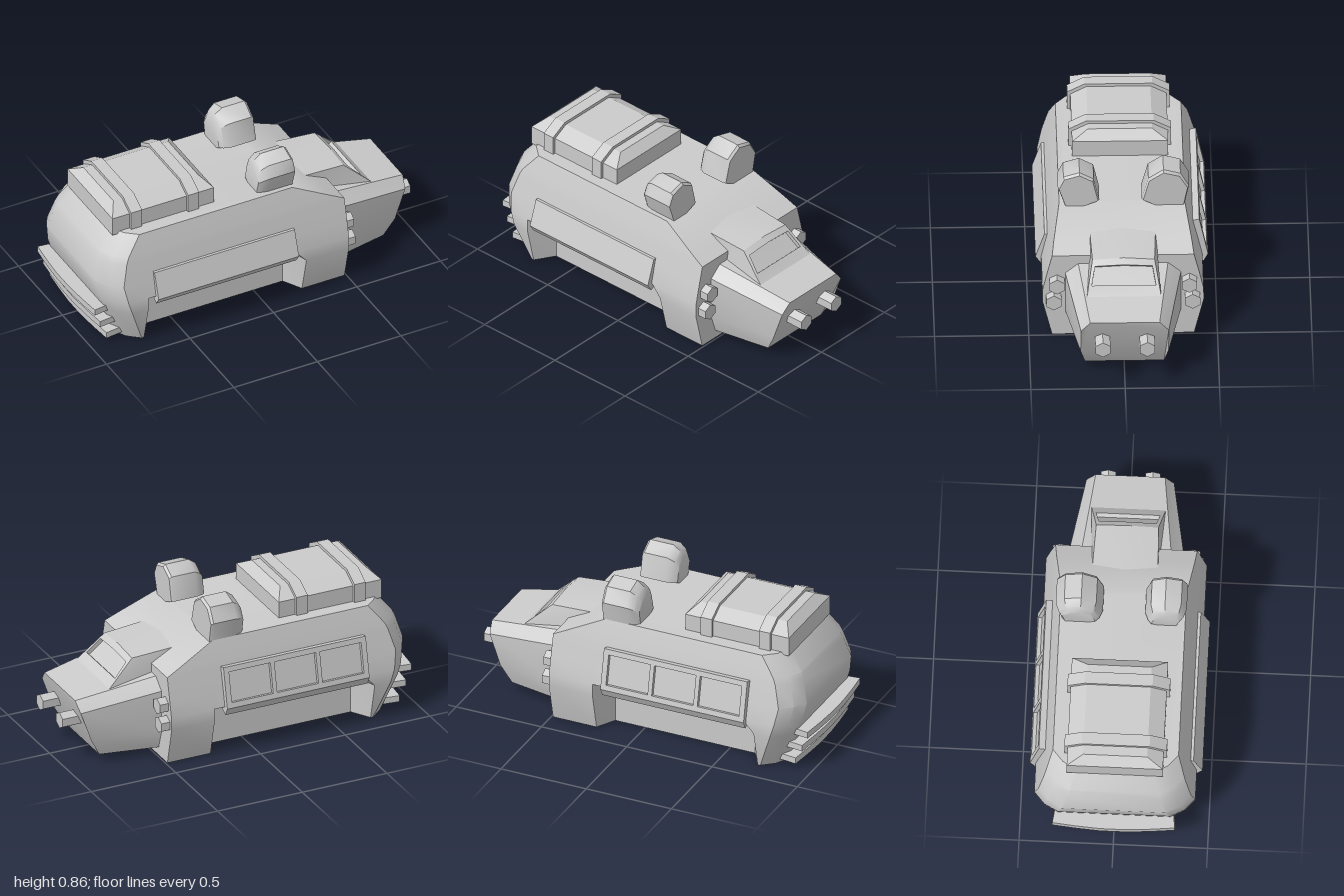
import * as THREE from 'three';
import { toCreasedNormals } from 'three/addons/utils/BufferGeometryUtils.js';

const material = new THREE.MeshStandardMaterial({ color: 0xcccccc });

function addMesh(parent, name, geometry) {
  const mesh = new THREE.Mesh(geometry, material);
  mesh.name = name;
  parent.add(mesh);
  return mesh;
}

// Closed skin through rings of equal point count, with both ends capped
function loft(rings, crease = 0.5) {
  const tris = [];
  const count = rings[0].length;
  for (let k = 0; k < rings.length - 1; k++) {
    const a = rings[k], b = rings[k + 1];
    for (let i = 0; i < count; i++) {
      const j = (i + 1) % count;
      tris.push([a[i], a[j], b[j]], [a[i], b[j], b[i]]);
    }
  }
  const cap = (ring, reverse) => {
    const n = new THREE.Vector3();
    ring.forEach((p, i) => n.add(new THREE.Vector3().crossVectors(
      new THREE.Vector3(...p), new THREE.Vector3(...ring[(i + 1) % count]))));
    const size = n.toArray().map(Math.abs);
    const drop = size.indexOf(Math.max(...size));
    const flat = ring.map((p) => new THREE.Vector2(...p.filter((_, i) => i !== drop)));
    for (const face of THREE.ShapeUtils.triangulateShape(flat, [])) {
      const t = face.map((i) => ring[i]);
      const v = t.map((p) => new THREE.Vector3(...p));
      const fn = v[1].clone().sub(v[0]).cross(v[2].clone().sub(v[0]));
      if ((fn.dot(n) < 0) !== reverse) t.reverse();
      tris.push(t);
    }
  };
  cap(rings[0], true);
  cap(rings[rings.length - 1], false);
  // Turn the whole skin outwards
  let volume = 0;
  for (const t of tris) {
    const [a, b, c] = t.map((p) => new THREE.Vector3(...p));
    volume += a.dot(b.cross(c));
  }
  if (volume < 0) tris.forEach((t) => t.reverse());
  const geometry = new THREE.BufferGeometry();
  geometry.setAttribute('position', new THREE.Float32BufferAttribute(tris.flat(2), 3));
  return toCreasedNormals(geometry, crease);
}

// Prism along x from a [z, y] outline
const prismX = (outline, x0, x1) =>
  loft([x0, x1].map((x) => outline.map(([z, y]) => [x, y, z])), 0.3);

// Mirror half a ring across z = 0
const mirrorZ = (half) => [...half, ...half.map(([x, y, z]) => [x, y, -z]).reverse()];

// Horizontal slice of the hull; the side recess closes where inner equals w
function hullSlice([y, w, front, rear, inner = w]) {
  const n0 = Math.min(0.235, front - 0.05), n1 = Math.min(0.175, front - 0.1);
  return mirrorZ([
    [front, w], [n0, w], [n1, inner], [-0.645, inner], [-0.71, w],
    [rear + 0.105, w], [rear + 0.04, w - 0.055], [rear, w - 0.13],
  ].map(([x, z]) => [x, y, z]));
}

function hexBarrel(parent, name, x0, x1, y, z) {
  const geometry = new THREE.CylinderGeometry(0.046, 0.046, x1 - x0, 6).toNonIndexed();
  geometry.computeVertexNormals();
  geometry.rotateZ(-Math.PI / 2);
  // Bring a corner of the hexagon to the top
  geometry.rotateX(Math.PI / 2);
  addMesh(parent, name, geometry).position.set((x0 + x1) / 2, y, z);
}

export function createModel() {
  const model = new THREE.Group();
  model.name = 'armouredVehicle';

  // Hull with side recesses and rounded tail
  addMesh(model, 'hull', loft([
    [0, 0.377, 0.49, -0.83, 0.27],
    [0.215, 0.428, 0.49, -0.91, 0.27],
    [0.285, 0.427, 0.49, -0.932],
    [0.385, 0.405, 0.49, -0.95],
    [0.505, 0.376, 0.49, -0.918],
    [0.54, 0.367, 0.4175, -0.903],
    [0.645, 0.333, 0.2, -0.82],
  ].map(hullSlice)));

  // Nose tapering to a raked front
  const noseBase = [[0.457, 0.24], [0.397, 0.31], [0.15, 0.31], [0.047, 0.277]]
    .map(([y, z]) => [0.47, y, z]);
  const noseTip = [[0.94, 0.383, 0.184], [0.93, 0.325, 0.233],
    [0.868, 0.15, 0.233], [0.81, 0.047, 0.21]];
  addMesh(model, 'nose', loft([mirrorZ(noseBase), mirrorZ(noseTip)]));

  // Cab hood with a sunken windscreen
  const hoodRing = (xt, yt, zt, xb, yb, zb, bulge) =>
    [[xb, yb, zb], [xt, yt, zt], [xt, yt + bulge, 0], [xt, yt, -zt], [xb, yb, -zb]];
  addMesh(model, 'cabHood', loft([
    hoodRing(0.33, 0.568, 0.175, 0.33, 0.4, 0.185, 0.01),
    hoodRing(0.595, 0.55, 0.165, 0.745, 0.412, 0.197, 0.012),
    hoodRing(0.625, 0.529, 0.152, 0.698, 0.455, 0.17, 0.008),
    hoodRing(0.608, 0.512, 0.152, 0.681, 0.438, 0.17, 0.008),
  ], 0.3));

  // Two pods on the roof, rounded at the back
  const pods = [
    [[0.34, 0.75], [0.31, 0.815], [0.225, 0.842], [0.15, 0.8], [0.12, 0.668], [0.225, 0.635], [0.3, 0.638]],
    [[-0.355, 0.752], [-0.31, 0.83], [-0.22, 0.855], [-0.14, 0.8], [-0.105, 0.67], [-0.19, 0.638], [-0.33, 0.635]],
  ];
  pods.forEach((outline, i) => {
    const cz = i ? -0.23 : 0.23;
    const ring = (x, s) => outline.map(([z, y]) =>
      [x, y < 0.65 ? y - 0.01 : 0.64 + (y - 0.64) * s, cz + (z - cz) * s]);
    addMesh(model, i ? 'rightRoofPod' : 'leftRoofPod', loft([
      ring(0.012, 0.7), ring(0.03, 0.86), ring(0.07, 1), ring(0.205, 1), ring(0.218, 0.94),
    ], 0.6));
  });

  // Roof stowage with two straps
  const slab = (y, x0, x1, z) => [[x0, y, z], [x1, y, z], [x1, y, -z], [x0, y, -z]];
  addMesh(model, 'roofStowage', loft([
    slab(0.63, -0.835, -0.228, 0.255),
    slab(0.738, -0.835, -0.228, 0.255),
    slab(0.785, -0.785, -0.278, 0.17),
  ]));
  const strap = [[0.272, 0.63], [0.272, 0.752], [0.18, 0.802],
    [-0.18, 0.802], [-0.272, 0.752], [-0.272, 0.63]];
  for (const x of [-0.7, -0.358]) {
    addMesh(model, 'stowageStrap', prismX(strap, x - 0.033, x + 0.033));
  }

  // Plain side board
  addMesh(model, 'leftSideBoard', prismX(
    [[0.38, 0.427], [0.41, 0.427], [0.458, 0.282], [0.43, 0.24], [0.4, 0.26]], -0.665, 0.175));

  // Side board with three sunken windows
  const board = new THREE.Group();
  board.name = 'rightWindowBoard';
  const w = 0.84, h = 0.23;
  const frame = new THREE.Shape([[0, 0], [w, 0], [w, h], [0, h]].map((p) => new THREE.Vector2(...p)));
  for (let i = 0; i < 3; i++) {
    const x = 0.03 + i * 0.268;
    frame.holes.push(new THREE.Path([[x, 0.03], [x, h - 0.03], [x + 0.244, h - 0.03], [x + 0.244, 0.03]]
      .map((p) => new THREE.Vector2(...p))));
  }
  addMesh(board, 'windowFrame', new THREE.ExtrudeGeometry(frame, { depth: 0.025, bevelEnabled: false }));
  addMesh(board, 'windowPanes', new THREE.BoxGeometry(w, h, 0.015)).position.set(w / 2, h / 2, -0.003);
  board.rotation.set(Math.atan2(0.047, 0.225), Math.PI, 0, 'YXZ');
  board.rotation.x *= -1;
  board.position.set(0.175, 0.28, -0.433);
  model.add(board);
  addMesh(model, 'rightBoardSill', prismX(
    [[-0.4, 0.29], [-0.457, 0.285], [-0.434, 0.24], [-0.4, 0.26]], -0.665, 0.175));

  // Bowed bars across the tail
  [[0.217, -1, -0.86], [0.13, -0.968, -0.82], [0.045, -0.93, -0.79]].forEach(([y, x0, x1]) => {
    const bar = (yy) => mirrorZ([[x1, yy, 0.31], [x0 + 0.022, yy, 0.325],
      [x0 + 0.009, yy, 0.2], [x0, yy, 0.07]]);
    addMesh(model, 'tailBar', loft([bar(y - 0.018), bar(y + 0.018)], 0.3));
  });

  // Hexagonal barrels on the nose and hull front
  for (const side of [1, -1]) {
    hexBarrel(model, 'noseBarrel', 0.85, 1, 0.25, side * 0.118);
    hexBarrel(model, 'upperHullBarrel', 0.46, 0.54, 0.337, side * 0.351);
    hexBarrel(model, 'lowerHullBarrel', 0.46, 0.54, 0.234, side * 0.368);
  }
  return model;
}
